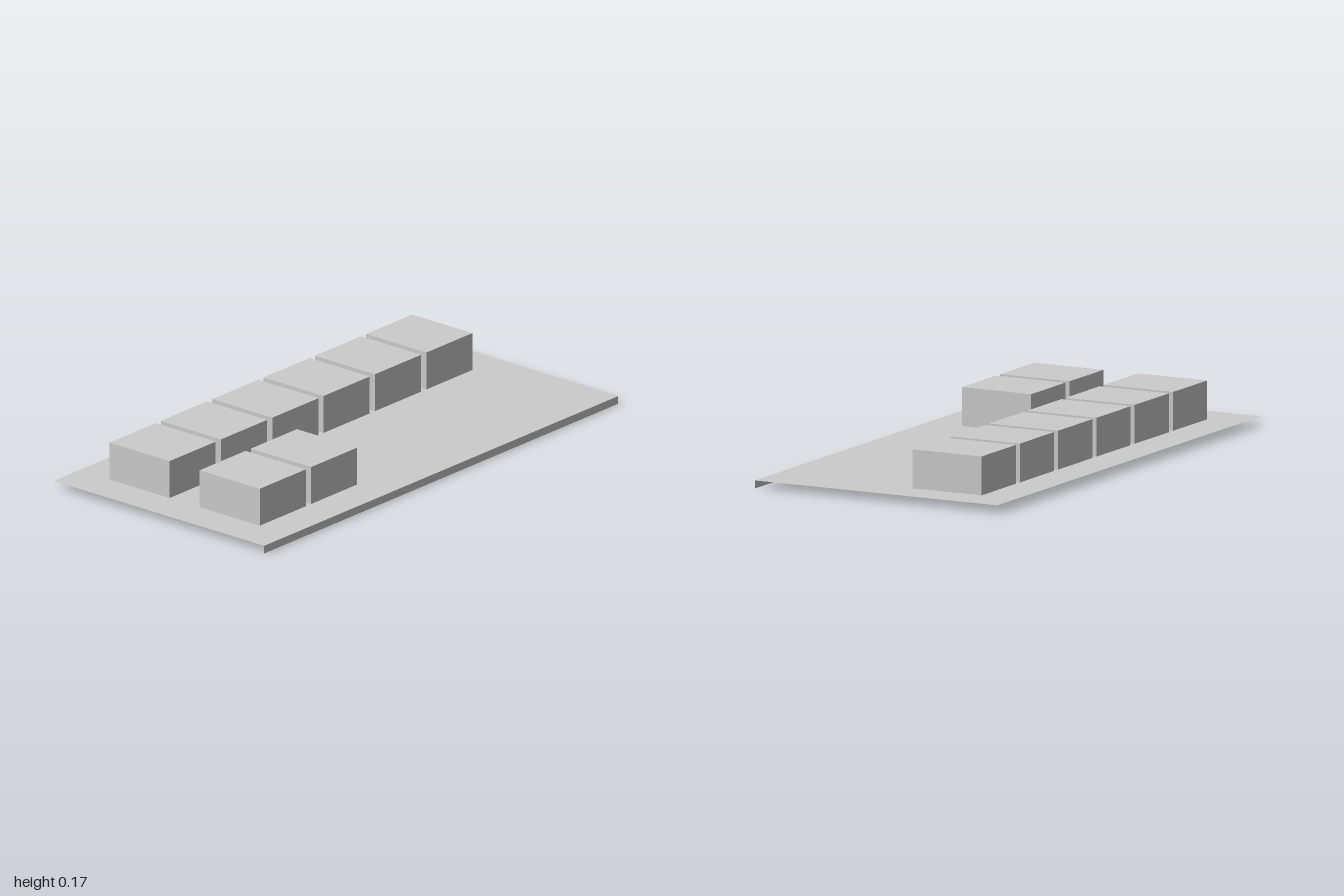
import * as THREE from 'three';

export function createModel() {
  const model = new THREE.Group();
  const solid = new THREE.MeshStandardMaterial({ color: 0xcccccc, flatShading: true });
  const sheet = new THREE.MeshStandardMaterial({ color: 0xcccccc, side: THREE.DoubleSide });
  const width = 2, depth = 1.014, deckY = 0.03;

  // Thin deck with a lip hanging from its front edge only
  const deck = new THREE.Mesh(new THREE.PlaneGeometry(width, depth).rotateX(-Math.PI / 2), sheet);
  deck.name = 'deck';
  deck.position.y = deckY;
  const lip = new THREE.Mesh(new THREE.PlaneGeometry(width, deckY), sheet);
  lip.name = 'frontLip';
  lip.position.set(0, deckY / 2, depth / 2);
  model.add(deck, lip);

  // Rows of blocks: six at the back, two at the front
  const size = { x: 0.26, y: 0.145, z: 0.29 };
  const pitch = 0.29, firstX = -0.725;
  const blockGeometry = new THREE.BoxGeometry(size.x, size.y, size.z);
  const addRow = (name, count, z) => {
    const row = new THREE.Group();
    row.name = name;
    for (let i = 0; i < count; i++) {
      const block = new THREE.Mesh(blockGeometry, solid);
      block.name = 'block';
      block.position.set(firstX + i * pitch, deckY + size.y / 2, z);
      row.add(block);
    }
    model.add(row);
  };
  addRow('backRow', 6, -0.217);
  addRow('frontRow', 2, 0.217);

  return model;
}
